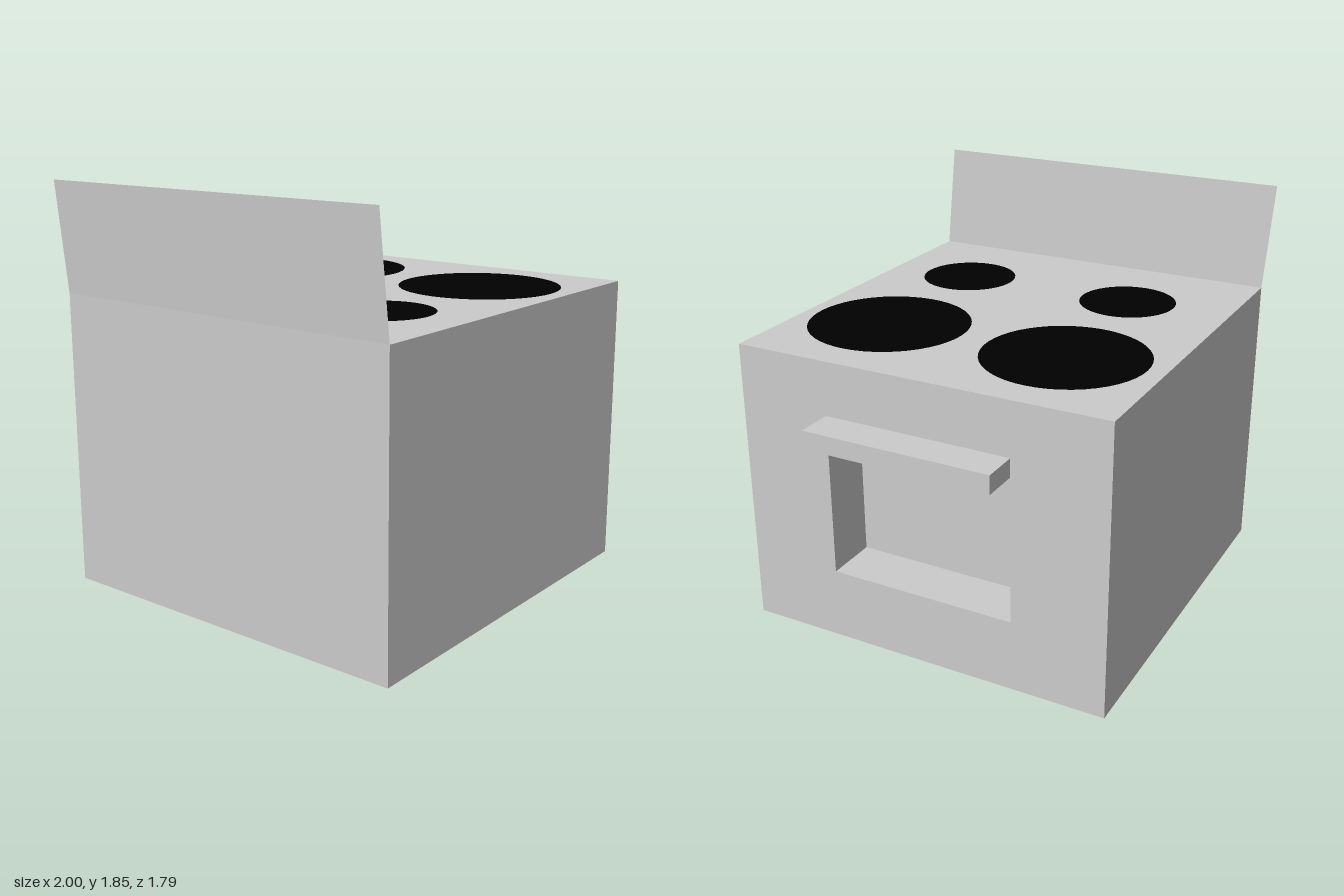
import * as THREE from 'three';

const grey = new THREE.MeshStandardMaterial({ color: 0xcccccc, flatShading: true });
const greyThin = new THREE.MeshStandardMaterial({ color: 0xcccccc, flatShading: true, side: THREE.DoubleSide });
const black = new THREE.MeshStandardMaterial({ color: 0x000000, side: THREE.DoubleSide });

// Main dimensions
const LEFT = -0.97, RIGHT = 0.83, TOP = 1.35, BACK = -0.87, FRONT = 0.895;
const RECESS = { x: 0.585, y0: 0.335, y1: 1.015, z0: -0.43, z1: 0.455 };

// Rectangular ring at x, counter-clockwise seen from +x
const ring = (x, y0, y1, z0, z1) => [[x, y0, z1], [x, y0, z0], [x, y1, z0], [x, y1, z1]];

function quadGeometry(quads) {
  const positions = [];
  for (const [a, b, c, d] of quads) positions.push(...a, ...b, ...c, ...a, ...c, ...d);
  const geometry = new THREE.BufferGeometry();
  geometry.setAttribute('position', new THREE.Float32BufferAttribute(positions, 3));
  geometry.computeVertexNormals();
  return geometry;
}

// Box shell whose +x side folds inward into the oven recess
function bodyGeometry() {
  const { x, y0, y1, z0, z1 } = RECESS;
  const rings = [
    ring(LEFT, 0, TOP, BACK, FRONT),
    ring(RIGHT, 0, TOP, BACK, FRONT),
    ring(RIGHT, y0, y1, z0, z1),
    ring(x, y0, y1, z0, z1),
  ];
  const quads = [[...rings[0]].reverse(), rings[3]];
  for (let i = 0; i < 3; i++) {
    for (let j = 0; j < 4; j++) {
      const k = (j + 1) % 4;
      quads.push([rings[i][j], rings[i][k], rings[i + 1][k], rings[i + 1][j]]);
    }
  }
  return quadGeometry(quads);
}

export function createModel() {
  const group = new THREE.Group();
  const add = (name, geometry, material) => {
    const mesh = new THREE.Mesh(geometry, material);
    mesh.name = name;
    group.add(mesh);
    return mesh;
  };

  add('ovenBody', bodyGeometry(), grey);

  // Thin splashback, leaning slightly outward and sheared along z
  add('splashback', quadGeometry([[
    [LEFT, TOP, FRONT], [LEFT, TOP, BACK],
    [-1, 1.85, BACK - 0.027], [-1, 1.85, FRONT - 0.027],
  ]]), greyThin);

  // Door handle over the recess
  const { z0, z1 } = RECESS;
  add('handle', new THREE.BoxGeometry(0.17, 0.085, z1 - z0), grey)
    .position.set(RIGHT + 0.085, 1.0575, (z0 + z1) / 2);

  // Hob plates: x, z, radius
  const plates = [
    [-0.465, -0.375, 0.228], [-0.465, 0.48, 0.228],
    [0.31, -0.42, 0.37], [0.305, 0.46, 0.37],
  ];
  plates.forEach(([x, z, r], i) => {
    const plate = add(`hobPlate${i + 1}`, new THREE.CircleGeometry(r, 48), black);
    plate.rotation.x = -Math.PI / 2;
    plate.position.set(x, TOP + 0.003, z);
  });

  return group;
}
